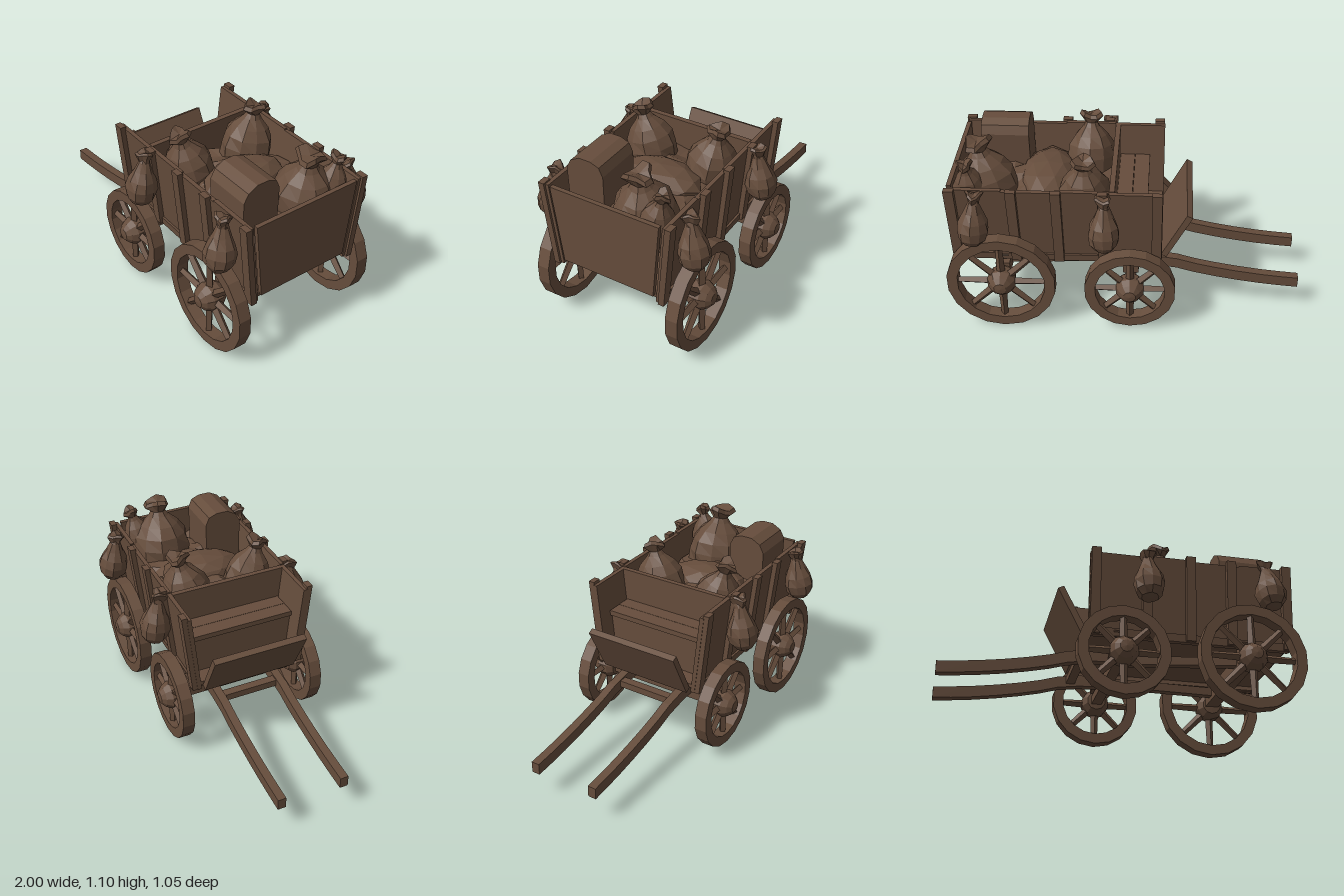
import * as THREE from 'three';

export function createModel() {
  const root = new THREE.Group();
  root.name = 'loadedWagon';
  const brown = new THREE.MeshStandardMaterial({ color: 0x664d3c, flatShading: true, side: THREE.DoubleSide });
  brown.name = 'brown wood and cloth';

  const add = (geo, name, x = 0, y = 0, z = 0, parent = root) => {
    const m = new THREE.Mesh(geo, brown);
    m.name = name;
    m.position.set(x, y, z);
    parent.add(m);
    return m;
  };
  const box = (name, w, h, d, x, y, z, parent) => add(new THREE.BoxGeometry(w, h, d), name, x, y, z, parent);
  const outline = pts => new THREE.Shape(pts.map(p => new THREE.Vector2(...p)));
  const lathe = (pts, sides) => new THREE.LatheGeometry(pts.map(p => new THREE.Vector2(...p)), sides);
  const extrude = (pts, depth) => new THREE.ExtrudeGeometry(outline(pts), { depth, bevelEnabled: false });
  // Square bar between two points
  const bar = (name, a, b, w, h) => {
    const p = new THREE.Vector3(...a), q = new THREE.Vector3(...b);
    const m = box(name, w, h, p.distanceTo(q), 0, 0, 0);
    m.position.copy(p).add(q).multiplyScalar(0.5);
    m.lookAt(q);
  };

  // Wheels: rim, eight spokes and a domed hub
  const wheel = (name, x, y, r, side) => {
    const g = new THREE.Group();
    g.name = name;
    g.position.set(x, y, 0.405 * side);
    const ring = [[r - 0.06, -0.036], [r, -0.036], [r, 0.036], [r - 0.06, 0.036], [r - 0.06, -0.036]];
    add(lathe(ring, 18).rotateX(Math.PI / 2), 'rim', 0, 0, 0, g);
    const hub = [[0, -0.075], [0.055, -0.07], [0.08, -0.035], [0.082, 0.02], [0.062, 0.055], [0.035, 0.078], [0, 0.083]];
    add(lathe(hub, 10).rotateX(side * Math.PI / 2), 'hub', 0, 0, 0, g);
    for (let i = 0; i < 8; i++) {
      const spoke = new THREE.CylinderGeometry(0.019, 0.025, r - 0.07, 4);
      spoke.translate(0, (r - 0.07) / 2 + 0.03, 0);
      add(spoke, 'spoke', 0, 0, 0, g).rotation.z = i * Math.PI / 4;
    }
    root.add(g);
  };

  // Sack profiles as fractions of radius and height
  const hangingProfile = [[0, 0], [0.55, 0.02], [0.88, 0.13], [1, 0.3], [0.88, 0.46], [0.6, 0.62],
    [0.36, 0.78], [0.33, 0.86], [0.52, 0.97], [0.4, 1], [0, 0.95]];
  const roundProfile = [[0, 0], [0.7, 0.04], [0.95, 0.2], [1, 0.38], [0.92, 0.53], [0.68, 0.66],
    [0.36, 0.77], [0.25, 0.83], [0.43, 0.95], [0.36, 1], [0, 0.94]];
  // Sack with lumpy body and ruffled mouth, base at the origin
  const sack = (name, prof, x, y, z, r, h, tiltX = 0, tiltZ = 0) => {
    const geo = lathe(prof.map(p => [p[0] * r, p[1] * h]), 10);
    const p = geo.attributes.position;
    for (let i = 0; i < p.count; i++) {
      const a = Math.atan2(p.getZ(i), p.getX(i)) + x * 5, v = p.getY(i) / h;
      const mouth = v > 0.85;
      const k = 1 + (mouth ? 0.25 * Math.sin(a * 3) : 0.05 * Math.sin(a * 4 + v * 9));
      const lift = mouth ? 0.035 * h * (Math.sin(a * 2) - 1) : 0;
      p.setXYZ(i, p.getX(i) * k, p.getY(i) + lift, p.getZ(i) * k);
    }
    add(geo, name, x, y, z).rotation.set(tiltX, 0, tiltZ);
  };

  // Sloping wall: z at height y
  const wallZ = y => 0.302 + (y - 0.41) * 0.105;
  const sidePiece = (name, x, w, y0, y1, t, out, s) => {
    const geo = new THREE.BoxGeometry(w, y1 - y0, t);
    geo.translate(x, (y0 + y1) / 2, 0);
    const p = geo.attributes.position;
    for (let i = 0; i < p.count; i++) p.setZ(i, p.getZ(i) + s * (wallZ(p.getY(i)) + out));
    add(geo, name);
  };

  for (const s of [1, -1]) {
    const tag = s > 0 ? 'Left' : 'Right';
    wheel('frontWheel' + tag, -0.03, 0.281, 0.257, s);
    wheel('rearWheel' + tag, 0.695, 0.311, 0.308, s);

    // Side planks, posts and sill rail
    for (let i = 0; i < 4; i++) {
      sidePiece('sidePlank' + tag, -0.06 + i * 0.29, 0.29, 0.41, 0.897 + 0.008 * (i % 2), 0.025, 0, s);
    }
    for (const x of [-0.175, 0.12, 0.37, 0.61, 0.94]) {
      sidePiece('sidePost' + tag, x, 0.055, 0.41, 0.913, 0.035, 0.024, s);
    }
    sidePiece('sillRail' + tag, 0.375, 1.14, 0.405, 0.45, 0.03, 0.01, s);

    // Curved pulling shaft
    const spine = new THREE.CatmullRomCurve3([
      [-1, 0.19], [-0.83, 0.205], [-0.62, 0.235], [-0.42, 0.275], [-0.25, 0.32], [-0.02, 0.335],
    ].map(p => new THREE.Vector3(p[0], p[1], 0))).getPoints(8);
    const upper = spine.map(p => [p.x, p.y + 0.033]);
    const lower = spine.map(p => [p.x, p.y - 0.033]).reverse();
    add(extrude([...upper, ...lower], 0.048), 'shaft' + tag, 0, 0, 0.187 * s - 0.024);

    // Undercarriage poles and body struts
    bar('perchPole' + tag, [-0.05, 0.325, 0.16 * s], [0.72, 0.35, 0.24 * s], 0.045, 0.05);
    for (const x of [-0.03, 0.695]) {
      bar('bodyStrut' + tag, [x, 0.37, 0.25 * s], [x, 0.45, 0.315 * s], 0.07, 0.05);
    }

    // Sacks hung on the sides
    sack('hangingSackFront' + tag, hangingProfile, 0.11, 0.59, 0.45 * s, 0.088, 0.33, -0.15 * s);
    sack('hangingSackRear' + tag, hangingProfile, 0.825, 0.61, 0.45 * s, 0.088, 0.32, -0.15 * s, 0.08);
  }

  // Axles and bolsters
  box('frontAxle', 0.06, 0.05, 0.74, -0.03, 0.282, 0);
  box('frontBolster', 0.09, 0.06, 0.62, -0.03, 0.345, 0);
  box('rearAxle', 0.08, 0.085, 0.68, 0.695, 0.342, 0);
  box('shaftCrossbar', 0.05, 0.04, 0.42, -0.22, 0.325, 0);

  // Floor
  box('floor', 1.15, 0.022, 0.6, 0.375, 0.446, 0);

  // Trapezoid cross panels, inset from the side walls
  const panel = (name, x, y0, y1, t, inset) => {
    const a = wallZ(y0) - inset, b = wallZ(y1) - inset;
    add(extrude([[-a, y0], [a, y0], [b, y1], [-b, y1]], t).rotateY(Math.PI / 2), name, x, 0, 0);
  };
  panel('tailgate', 0.938, 0.445, 0.905, 0.025, 0.028);
  panel('seatBack', 0.055, 0.44, 0.9, 0.03, 0.013);
  panel('seatRiser', -0.1, 0.44, 0.68, 0.025, 0.013);

  // Driver's bench and slanting footboard
  for (const x of [-0.075, 0.015]) box('seatPlank', 0.088, 0.03, 0.63, x, 0.695, 0);
  box('footboard', 0.036, 0.31, 0.56, -0.285, 0.56, 0).rotation.z = 0.47;

  // Lumpy cargo heap filling the bed
  const heap = new THREE.PlaneGeometry(0.85, 0.62, 9, 7).rotateX(-Math.PI / 2);
  const hp = heap.attributes.position;
  for (let i = 0; i < hp.count; i++) {
    const x = hp.getX(i), z = hp.getZ(i);
    hp.setY(i, 0.1 * Math.cos(x * 3.2) * Math.cos(z * 4) + 0.03 * Math.sin(x * 23 + z * 9) * Math.cos(z * 21));
  }
  add(heap, 'cargoHeap', 0.51, 0.7, 0);
  const bundle = add(new THREE.IcosahedronGeometry(0.14, 1), 'cargoBundle', 0.45, 0.76, 0);
  bundle.scale.set(1.15, 0.7, 1.8);

  // Loaded sacks
  sack('cargoSackFrontRight', roundProfile, 0.23, 0.63, -0.16, 0.145, 0.43, -0.2);
  sack('cargoSackFrontLeft', roundProfile, 0.22, 0.63, 0.155, 0.138, 0.43, 0.26);
  sack('cargoSackRearRight', roundProfile, 0.755, 0.62, -0.13, 0.175, 0.475, 0.01, -0.14);
  sack('cargoSackCorner', roundProfile, 0.84, 0.68, -0.2, 0.1, 0.375, -0.25, -0.06);

  // Round-topped chest
  const lid = [[-0.108, 0], [0.108, 0], [0.112, 0.34], [0.09, 0.39], [0.04, 0.41], [-0.03, 0.41], [-0.085, 0.38], [-0.112, 0.33]];
  add(extrude(lid, 0.27).rotateY(Math.PI / 2), 'chest', 0.565, 0.63, 0.197);

  return root;
}
